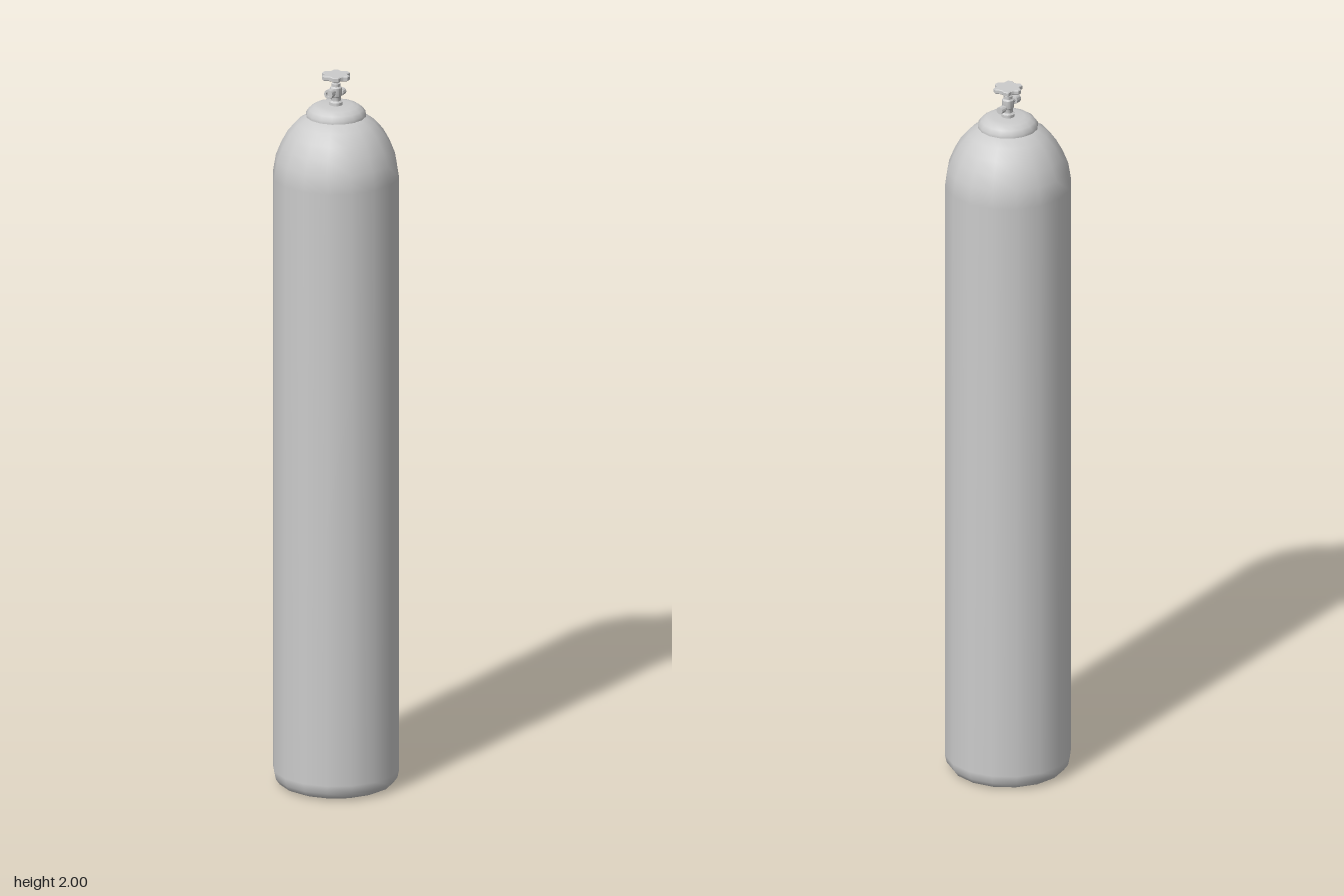
import * as THREE from 'three';
import { toCreasedNormals } from 'three/addons/utils/BufferGeometryUtils.js';

const material = new THREE.MeshStandardMaterial({ color: 0xcccccc });

export function createModel() {
  const model = new THREE.Group();
  model.name = 'gasCylinder';

  const add = (name, geometry, parent = model) => {
    const mesh = new THREE.Mesh(geometry, material);
    mesh.name = name;
    parent.add(mesh);
    return mesh;
  };
  // Turned part from [radius, height] pairs, listed from the bottom up
  const turned = (profile, sides, crease) => {
    const points = profile.map(([r, y]) => new THREE.Vector2(r, y));
    const geometry = new THREE.LatheGeometry(points, sides);
    return crease ? toCreasedNormals(geometry, crease) : geometry;
  };

  // Tank: rounded foot, straight wall and domed shoulder
  add('tank', turned([
    [0, 0], [0.138, 0], [0.155, 0.007], [0.166, 0.022], [0.171, 0.045],
    [0.171, 1.715], [0.163, 1.765], [0.148, 1.803], [0.13, 1.836],
    [0.106, 1.864], [0.08, 1.88], [0.05, 1.89], [0, 1.895],
  ], 16));

  // Neck ring with a bevelled top
  add('neckRing', turned([
    [0.05, 1.88], [0.081, 1.883], [0.081, 1.891], [0.073, 1.902],
    [0.06, 1.911], [0.045, 1.914], [0, 1.914],
  ], 16, 0.9));

  // Valve body and spindle
  const valve = new THREE.Group();
  valve.name = 'valve';
  model.add(valve);
  add('valveStem', turned([
    [0.018, 1.91], [0.018, 1.922], [0.013, 1.926], [0.013, 1.936],
    [0.016, 1.94], [0.016, 1.962], [0.012, 1.966], [0.012, 1.974],
    [0.009, 1.976], [0.009, 1.99],
  ], 12, 0.7), valve);

  // Gas outlet at the front, with a flanged end
  const outlet = add('outlet', turned([
    [0.008, 0], [0.008, 0.022], [0.013, 0.024], [0.013, 0.041], [0.007, 0.041], [0.007, 0.034], [0, 0.034],
  ], 12, 0.7), valve);
  outlet.position.y = 1.953;
  outlet.rotation.x = Math.PI / 2;

  // Smaller safety plug at the back
  const plug = add('safetyPlug', turned([
    [0.007, 0], [0.007, 0.02], [0.01, 0.022], [0.01, 0.038], [0, 0.038],
  ], 12, 0.7), valve);
  plug.position.y = 1.942;
  plug.rotation.x = -Math.PI / 2;

  // Six-lobed hand wheel: scallops cut between lobes that point along x
  const outline = new THREE.Shape();
  for (let i = 0; i < 6; i++) {
    const middle = (i + 0.5) * Math.PI / 3;
    for (let j = 0; j <= 8; j++) {
      const t = j / 8;
      const angle = middle + (t - 0.5) * 0.72;
      const radius = 0.040 - 0.0095 * Math.sin(Math.PI * t);
      const x = radius * Math.cos(angle), y = radius * Math.sin(angle);
      if (i + j === 0) outline.moveTo(x, y);
      else outline.lineTo(x, y);
    }
  }
  outline.closePath();
  const wheel = new THREE.ExtrudeGeometry(outline, {
    depth: 0.009, bevelEnabled: true, bevelThickness: 0.002, bevelSize: 0.002, bevelOffset: -0.002, bevelSegments: 1,
  });
  wheel.rotateX(-Math.PI / 2);
  wheel.translate(0, 1.989, 0);
  add('handWheel', toCreasedNormals(wheel, 0.7), valve);

  // Hub under the wheel
  add('wheelHub', turned([[0.01, 1.978], [0.015, 1.982], [0.02, 1.989]], 12), valve);

  return model;
}
